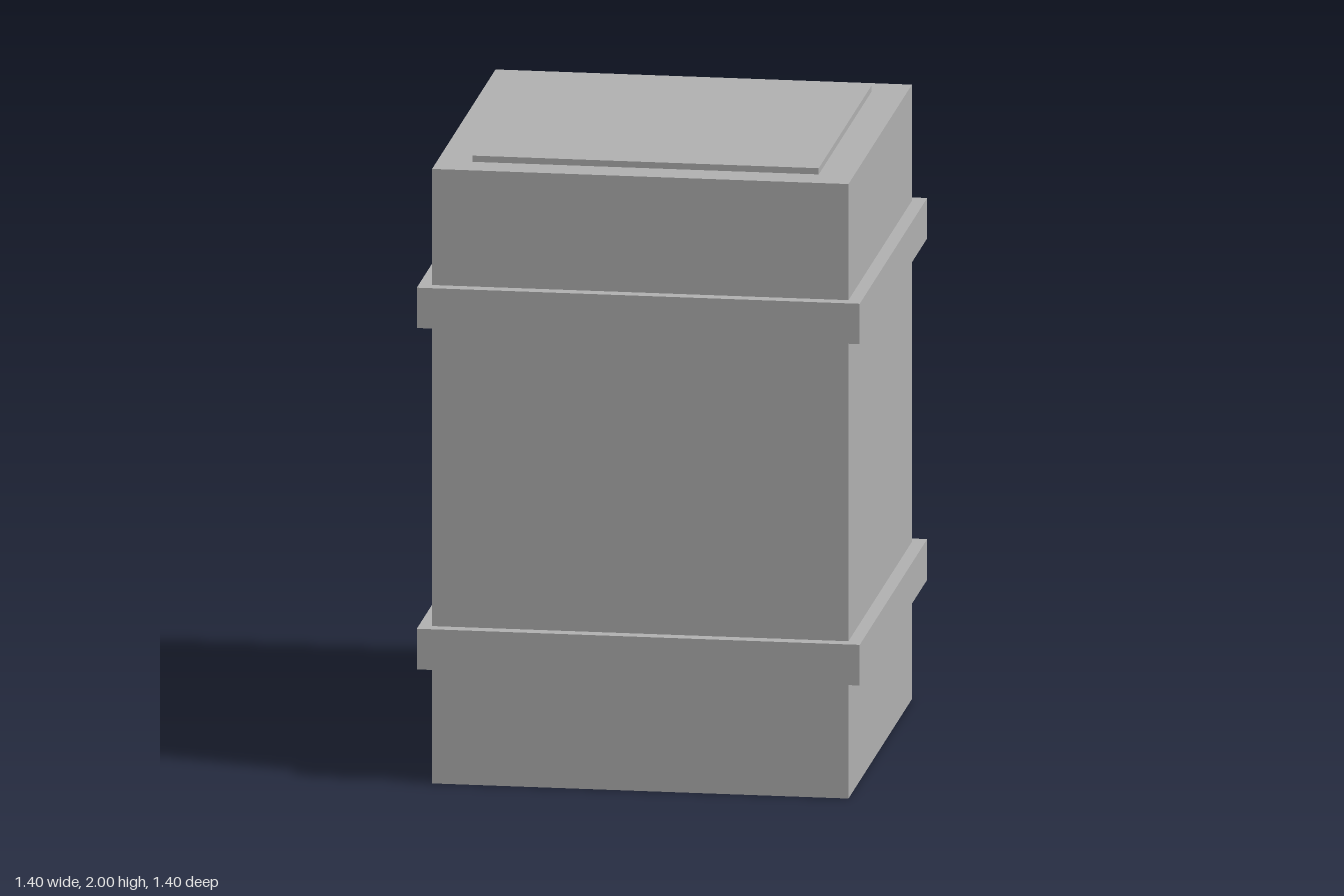
import * as THREE from 'three';

export function createModel() {
  const model = new THREE.Group();
  model.name = 'squareBarrel';
  const grey = new THREE.MeshStandardMaterial({ color: 0xb2b2b2 });
  grey.name = 'plain grey';

  // Square slab centred on the vertical axis, from y0 up to y1
  const slab = (name, width, y0, y1) => {
    const mesh = new THREE.Mesh(new THREE.BoxGeometry(width, y1 - y0, width), grey);
    mesh.name = name;
    mesh.position.y = (y0 + y1) / 2;
    model.add(mesh);
  };

  // Main container
  slab('body', 1.318, 0, 1.98);

  // Raised bands around the body
  slab('lowerBand', 1.402, 0.376, 0.507);
  slab('upperBand', 1.402, 1.476, 1.606);

  // Thin lid plate on top
  slab('lid', 1.096, 1.98, 2);

  return model;
}
